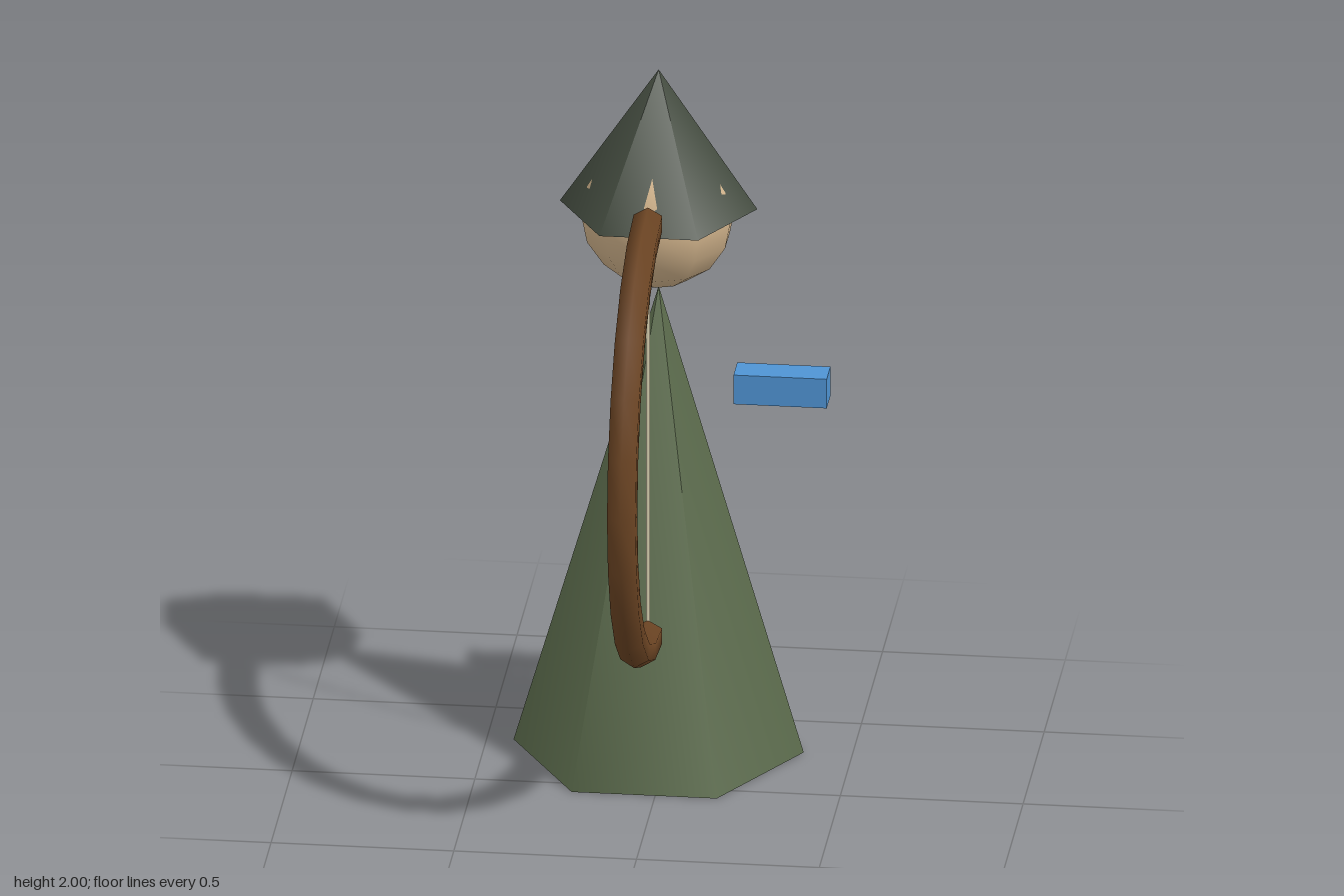
import * as THREE from 'three';

const CX = -0.03, CZ = -0.285; // axis of the figure
const BOW_Z = -0.03, BOW_Y = 1.045, BOW_R = 0.61;

function material(name, color, side = THREE.FrontSide) {
  const m = new THREE.MeshStandardMaterial({ color, side });
  m.name = name;
  return m;
}

export function createModel() {
  const model = new THREE.Group();
  model.name = 'hoodedArcher';

  const add = (name, geometry, mat, x, y, z) => {
    const mesh = new THREE.Mesh(geometry, mat);
    mesh.name = name;
    mesh.position.set(x, y, z);
    model.add(mesh);
  };

  // Six-sided cone standing on y = base, with corners at +x and -x
  const cone = (radius, height) =>
    new THREE.ConeGeometry(radius, height, 6).rotateY(Math.PI / 2).translate(0, height / 2, 0);

  // Robe and hood
  add('robe', cone(0.397, 1.36), material('mossGreen', 0x5b6b4c), CX, 0, CZ);
  add('hood', cone(0.27, 0.4), material('darkGreen', 0x434b3f), CX, 1.6, CZ);

  // Head
  add('head', new THREE.SphereGeometry(0.215, 10, 8).rotateY(Math.PI / 2),
    material('skin', 0xd2b48c), CX, 1.588, CZ);

  // Bow: half ring bulging forward, with a straight string
  add('bow', new THREE.TorusGeometry(BOW_R, 0.045, 6, 12, Math.PI)
    .rotateZ(-Math.PI / 2).rotateY(-Math.PI / 2),
  material('wood', 0x6b4423, THREE.DoubleSide), CX, BOW_Y, BOW_Z);
  add('bowString', new THREE.CylinderGeometry(0.006, 0.006, BOW_R * 2, 6),
    material('stringCream', 0xd8d0b0), CX, BOW_Y, BOW_Z);

  // Floating blue block beside the body
  add('blueBlock', new THREE.BoxGeometry(0.255, 0.086, 0.088),
    material('blue', 0x4f94d4), 0.297, 1.043, -0.376);

  return model;
}
